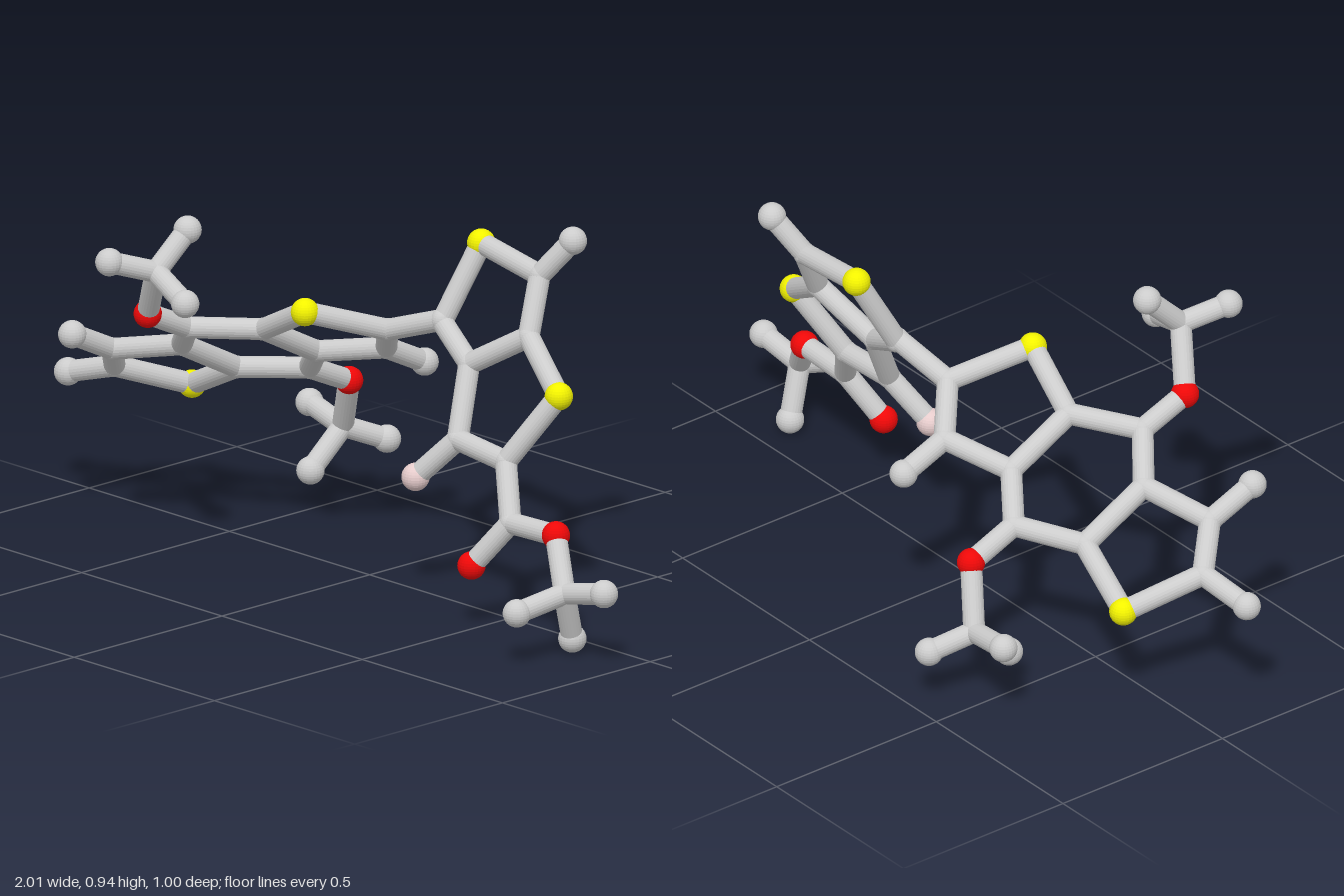
import * as THREE from 'three';

const BALL = 0.035, STICK = 0.027;
const COLORS = { C: 0xcccccc, H: 0xcccccc, S: 0xf2f200, O: 0xee0808, F: 0xe6cccc };
const NAMES = { C: 'joint', H: 'endBall', S: 'yellowBall', O: 'redBall', F: 'pinkBall' };

export function createModel() {
  const model = new THREE.Group();
  model.name = 'ballAndStickModel';
  const mats = {};
  for (const k in COLORS) mats[k] = new THREE.MeshStandardMaterial({ color: COLORS[k], flatShading: true });
  const ballGeo = new THREE.SphereGeometry(BALL, 24, 16);
  const jointGeo = new THREE.SphereGeometry(STICK + 0.0015, 24, 16);
  const stickGeo = new THREE.CylinderGeometry(STICK, STICK, 1, 24, 1, true);
  const up = new THREE.Vector3(0, 1, 0);

  // balls at each node, then sticks between linked nodes
  function cluster(name, atoms, links) {
    const group = new THREE.Group();
    group.name = name;
    const pos = {};
    for (const [id, [x, y, z]] of Object.entries(atoms)) {
      const kind = id[0];
      const ball = new THREE.Mesh(kind === 'C' ? jointGeo : ballGeo, mats[kind]);
      ball.name = NAMES[kind];
      ball.position.set(x, y, z);
      pos[id] = ball.position;
      group.add(ball);
    }
    for (const chain of links) {
      const ids = chain.split(' ');
      for (let i = 0; i + 1 < ids.length; i++) {
        const a = pos[ids[i]], b = pos[ids[i + 1]];
        const dir = b.clone().sub(a);
        const stick = new THREE.Mesh(stickGeo, mats.C);
        stick.name = 'stick';
        stick.position.copy(a).lerp(b, 0.5);
        stick.scale.y = dir.length();
        stick.quaternion.setFromUnitVectors(up, dir.normalize());
        group.add(stick);
      }
    }
    model.add(group);
  }

  // three fused rings lie in one tilted plane
  const flat = (x, z) => [x, 0.4 * x + 0.525 * z + 0.665, z];
  cluster('tripleRing', {
    S1: flat(-0.76, -0.12), C2: flat(-0.835, 0.07), C3: flat(-0.75, 0.16),
    C4: flat(-0.57, 0.095), C5: flat(-0.57, -0.09),
    C6: flat(-0.465, 0.175), C7: flat(-0.41, -0.185),
    C8: flat(-0.305, -0.11), C9: flat(-0.305, 0.07),
    S10: flat(-0.12, 0.105), C11: flat(-0.03, -0.09), C12: flat(-0.13, -0.18),
    H1: flat(-0.97, 0.1), H2: flat(-0.76, 0.285), H3: flat(-0.12, -0.3),
    C13: [0.13, 0.66, -0.12],
  }, ['C5 S1 C2 C3 C4 C5 C7 C8 C9 C6 C4', 'C9 S10 C11 C12 C8', 'C2 H1', 'C3 H2', 'C12 H3', 'C11 C13']);

  // side branches above and below the triple ring
  const branch = ['C0 O1 C1 H1', 'C1 H2', 'C1 H3'];
  cluster('frontBranch', {
    C0: flat(-0.465, 0.175), O1: [-0.475, 0.63, 0.3], C1: [-0.385, 0.77, 0.358],
    H1: [-0.37, 0.862, 0.265], H2: [-0.435, 0.807, 0.468], H3: [-0.25, 0.724, 0.387],
  }, branch);
  cluster('backBranch', {
    C0: flat(-0.41, -0.185), O1: [-0.405, 0.345, -0.315], C1: [-0.48, 0.2, -0.365],
    H1: [-0.485, 0.107, -0.26], H2: [-0.43, 0.157, -0.467], H3: [-0.62, 0.226, -0.385],
  }, branch);

  // two fused rings in a steep plane, with the tail branch
  const steep = (x, y) => [x, y, 0.22 - 0.522 * y];
  cluster('doubleRing', {
    C1: steep(0.13, 0.655), S2: steep(0.165, 0.845), C3: steep(0.39, 0.815), H1: steep(0.457, 0.908),
    C4: steep(0.425, 0.68), C5: steep(0.265, 0.585), C6: steep(0.315, 0.42), F1: steep(0.222, 0.315),
    C7: steep(0.495, 0.405), S8: steep(0.59, 0.575), C9: steep(0.58, 0.28),
  }, ['C1 S2 C3 C4 C5 C1', 'C5 C6 C7 S8 C4', 'C3 H1', 'C6 F1', 'C7 C9']);
  cluster('tailBranch', {
    C0: steep(0.58, 0.28), O1: [0.5, 0.165, 0.13], O2: [0.743, 0.285, 0.075], C1: [0.835, 0.168, 0.133],
    H1: [0.965, 0.194, 0.123], H2: [0.81, 0.037, 0.083], H3: [0.807, 0.14, 0.268],
  }, ['C0 O1', 'C0 O2 C1 H1', 'C1 H2', 'C1 H3']);

  return model;
}
